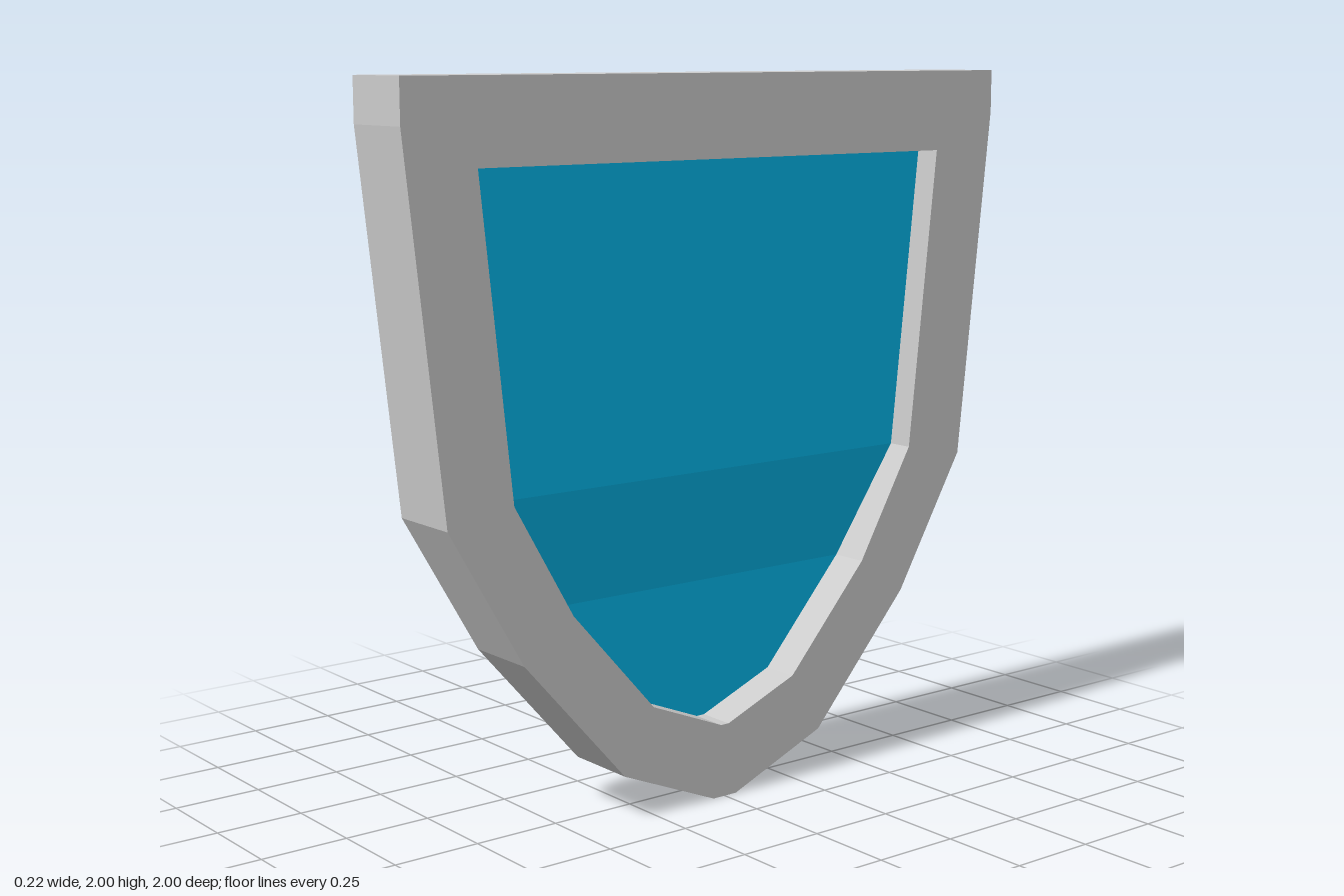
import * as THREE from 'three';

// Half outlines from top to bottom: [half width along z, y]
const OUTER = [[1, 2], [1, 1.88], [0.891, 0.877], [0.667, 0.491], [0.347, 0.128], [0.04, 0]];
const INNER = [[0.783, 1.774], [0.691, 0.916], [0.51, 0.6], [0.248, 0.304], [0.013, 0.208]];
const THICKNESS = 0.22;

// Mirrors a half outline into a closed loop of points
function mirrored(half) {
  const right = half.map(([w, y]) => new THREE.Vector2(w, y));
  const left = half.map(([w, y]) => new THREE.Vector2(-w, y)).reverse();
  return [...right, ...left];
}

// Thick border with a shield-shaped opening; the opening runs opposite to the rim so its walls face inwards
function createFrame() {
  const shape = new THREE.Shape(mirrored(OUTER));
  shape.holes.push(new THREE.Path(mirrored(INNER).reverse()));
  const geometry = new THREE.ExtrudeGeometry(shape, { depth: THICKNESS, bevelEnabled: false });
  geometry.translate(0, 0, -THICKNESS / 2).rotateY(Math.PI / 2);
  const frame = new THREE.Mesh(geometry, new THREE.MeshStandardMaterial({ color: 0xcccccc, flatShading: true }));
  frame.name = 'shieldFrame';
  return frame;
}

// Thin sheet filling the opening, stepping back to the middle in its lower part
function createPanel() {
  const rowX = [0.034, 0.034, 0, 0, 0];
  const positions = [];
  const index = [];
  INNER.forEach(([w, y], i) => {
    positions.push(rowX[i], y, w, rowX[i], y, -w);
    if (i === 0) return;
    const a = 2 * (i - 1);
    index.push(a, a + 2, a + 1, a + 1, a + 2, a + 3);
  });
  const indexed = new THREE.BufferGeometry();
  indexed.setAttribute('position', new THREE.Float32BufferAttribute(positions, 3));
  indexed.setIndex(index);
  const geometry = indexed.toNonIndexed();
  geometry.computeVertexNormals();
  const panel = new THREE.Mesh(geometry, new THREE.MeshStandardMaterial({
    color: 0x00b6e8, flatShading: true, side: THREE.DoubleSide,
  }));
  panel.name = 'shieldPanel';
  return panel;
}

export function createModel() {
  const model = new THREE.Group();
  model.name = 'shield';
  model.add(createFrame(), createPanel());
  return model;
}
